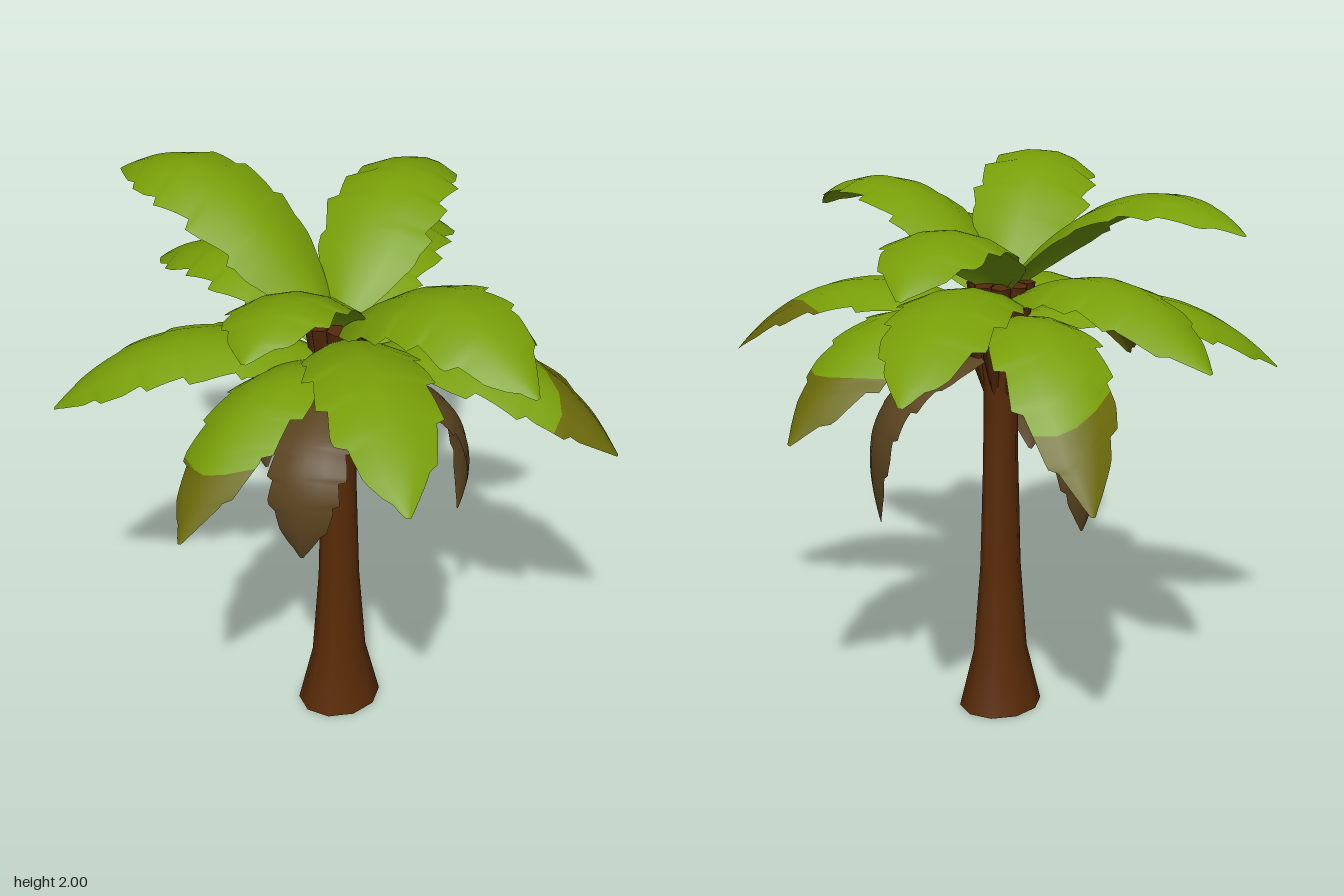
import * as THREE from 'three';

const mat = (name, color) => {
  const m = new THREE.MeshStandardMaterial({ color, side: THREE.DoubleSide });
  m.name = name;
  return m;
};

const V = (x, y, z) => new THREE.Vector3(x, y, z);
const CX = -0.045; // trunk axis

// Half width of a frond along its length
const OUTLINE = [[0, 0.04], [0.1, 0.12], [0.2, 0.178], [0.4, 0.203], [0.72, 0.18], [0.88, 0.112], [1, 0.008]];
function halfWidth(t, phase) {
  let i = 0;
  while (i < OUTLINE.length - 2 && t > OUTLINE[i + 1][0]) i++;
  const [t0, w0] = OUTLINE[i], [t1, w1] = OUTLINE[i + 1];
  const w = THREE.MathUtils.lerp(w0, w1, (t - t0) / (t1 - t0));
  // ragged, saw-toothed margin on the outer part
  const saw = (t * 5.5 + phase) % 1;
  return t > 0.25 && t < 0.97 ? w * (0.88 + 0.2 * saw) : w;
}

// Part of an arched leaf blade; from(u) and to(u) bound it lengthwise
function bladeGeometry(curve, side, scale, phase, from, to, rows) {
  const cols = 4;
  const pos = [], index = [];
  for (let r = 0; r <= rows; r++) {
    for (let c = 0; c <= cols; c++) {
      const u = c / cols * 2 - 1;
      const t = THREE.MathUtils.lerp(from(u), to(u), r / rows);
      const normal = curve.getTangent(t).cross(side).normalize();
      const w = scale * halfWidth(t, u < 0 ? phase : phase + 0.43);
      const v = curve.getPoint(t).addScaledVector(side, u * w).addScaledVector(normal, -0.3 * w * u * u);
      pos.push(v.x, v.y, v.z);
      if (r < rows && c < cols) {
        const a = r * (cols + 1) + c, d = a + cols + 1;
        index.push(a, d, a + 1, a + 1, d, d + 1);
      }
    }
  }
  const g = new THREE.BufferGeometry();
  g.setAttribute('position', new THREE.Float32BufferAttribute(pos, 3));
  g.setIndex(index);
  g.computeVertexNormals();
  return g;
}

// startY, height at mid length, tip, how far out the arch leans, width scale, roll about its length;
// a withered tip is [material, where it begins, slant of its border]
function frond(name, { startY, midY, tip, lean, scale, phase, roll = 0, material, withered }) {
  const group = new THREE.Group();
  group.name = name;
  const end = V(...tip);
  const dir = V(end.x - CX, 0, end.z).normalize();
  const start = V(CX, startY, 0).addScaledVector(dir, 0.025);
  const control = start.clone().lerp(end, lean);
  control.y = 2 * midY - (startY + end.y) / 2;
  const curve = new THREE.QuadraticBezierCurve3(start, control, end);
  const side = V(0, 1, 0).cross(dir).applyAxisAngle(dir, roll);
  const add = (part, partMaterial, from, to, rows) => {
    const m = new THREE.Mesh(bladeGeometry(curve, side, scale, phase, from, to, rows), partMaterial);
    m.name = part;
    group.add(m);
  };
  const base = () => 0, point = () => 1;
  if (withered) {
    const [tipMaterial, begin, slant] = withered;
    const border = (u) => begin + slant * u - 0.06 * u * u;
    add('blade', material, base, border, 36);
    add('witheredTip', tipMaterial, border, point, 16);
  } else add('blade', material, base, point, 48);
  return group;
}

export function createModel() {
  const model = new THREE.Group();
  model.name = 'palmTree';
  const bark = mat('bark', 0x592b07);
  const husk = mat('husk', 0x54290c);
  const green = mat('leafGreen', 0x799f08);
  const olive = mat('witheredOlive', 0x6b6a0a);
  const dead = mat('deadLeafBrown', 0x5a4420);

  // Trunk, open underneath
  const profile = [[0.157, 0], [0.102, 0.22], [0.077, 0.55], [0.066, 0.95], [0.064, 1.2], [0.084, 1.33], [0.1, 1.46], [0.001, 1.49]]
    .map(([r, y]) => new THREE.Vector2(r, y));
  const trunk = new THREE.Mesh(new THREE.LatheGeometry(profile, 10, Math.PI / 2), bark);
  trunk.name = 'trunk';
  trunk.position.x = CX;
  trunk.scale.z = 0.88;
  model.add(trunk);

  // Rings of cut leaf bases: flared lower husks and upright upper stubs
  const ring = (name, count, geometry, radius, y, tilt, turn) => {
    for (let i = 0; i < count; i++) {
      const pivot = new THREE.Group();
      pivot.name = name;
      pivot.position.set(CX, 0, 0);
      pivot.rotation.y = turn + i / count * Math.PI * 2;
      const m = new THREE.Mesh(geometry, husk);
      m.position.set(0, y, radius);
      m.rotation.x = tilt;
      pivot.add(m);
      model.add(pivot);
    }
  };
  ring('lowerHusk', 7, new THREE.CylinderGeometry(0.045, 0.012, 0.27, 5), 0.08, 1.34, 0.22, 0.2);
  ring('upperStub', 8, new THREE.CylinderGeometry(0.036, 0.028, 0.18, 5), 0.074, 1.515, 0.1, 0);

  // Upper, middle and lower tiers of green fronds
  const upper = [
    { midY: 1.97, tip: [-0.24, 1.9, -0.91], lean: 0.53, roll: -0.08 },
    { midY: 1.9, tip: [0.77, 1.78, -0.37] },
    { midY: 1.91, tip: [-0.74, 1.85, 0.34], roll: 0.17 },
    { midY: 1.87, tip: [-0.05, 1.71, 0.93], roll: 0.15 }];
  const middle = [
    { midY: 1.69, tip: [-0.07, 1.48, -0.93] },
    { midY: 1.69, tip: [0.86, 1.48, -0.47] },
    { midY: 1.7, tip: [-0.57, 1.49, 0.9] }];
  const lower = [
    { midY: 1.53, tip: [0.38, 1.09, -0.84], withered: [olive, 0.79, -0.06] },
    { midY: 1.56, tip: [0.42, 1.27, 0.87], withered: [olive, 0.74, -0.12] },
    { midY: 1.53, tip: [0.83, 1.2, 0.11], withered: [olive, 0.77, -0.06], roll: -0.08 },
    { midY: 1.5, tip: [-0.86, 1.13, 0.13], withered: [olive, 0.8, 0], roll: 0.25 },
    { midY: 1.53, tip: [-0.79, 1.27, -0.63] }];
  upper.forEach((f, i) => model.add(frond('upperFrond',
    { startY: 1.58, lean: 0.5, scale: 1, phase: i * 0.27, material: green, ...f })));
  middle.forEach((f, i) => model.add(frond('middleFrond',
    { startY: 1.53, lean: 0.5, scale: 0.98, phase: 0.15 + i * 0.31, material: green, ...f })));
  lower.forEach((f, i) => model.add(frond('lowerFrond',
    { startY: 1.46, lean: 0.6, scale: 0.95, phase: 0.1 + i * 0.23, material: green, ...f })));

  // Dead fronds hanging beside the trunk
  [[0.34, 0.76, 0.21], [-0.03, 0.8, -0.41], [-0.37, 0.86, 0.17]].forEach((tip, i) => model.add(frond('deadFrond',
    { startY: 1.35, midY: 1.19, tip, lean: 1.36, scale: 0.68, phase: 0.2 + i * 0.3, material: dead })));

  return model;
}
